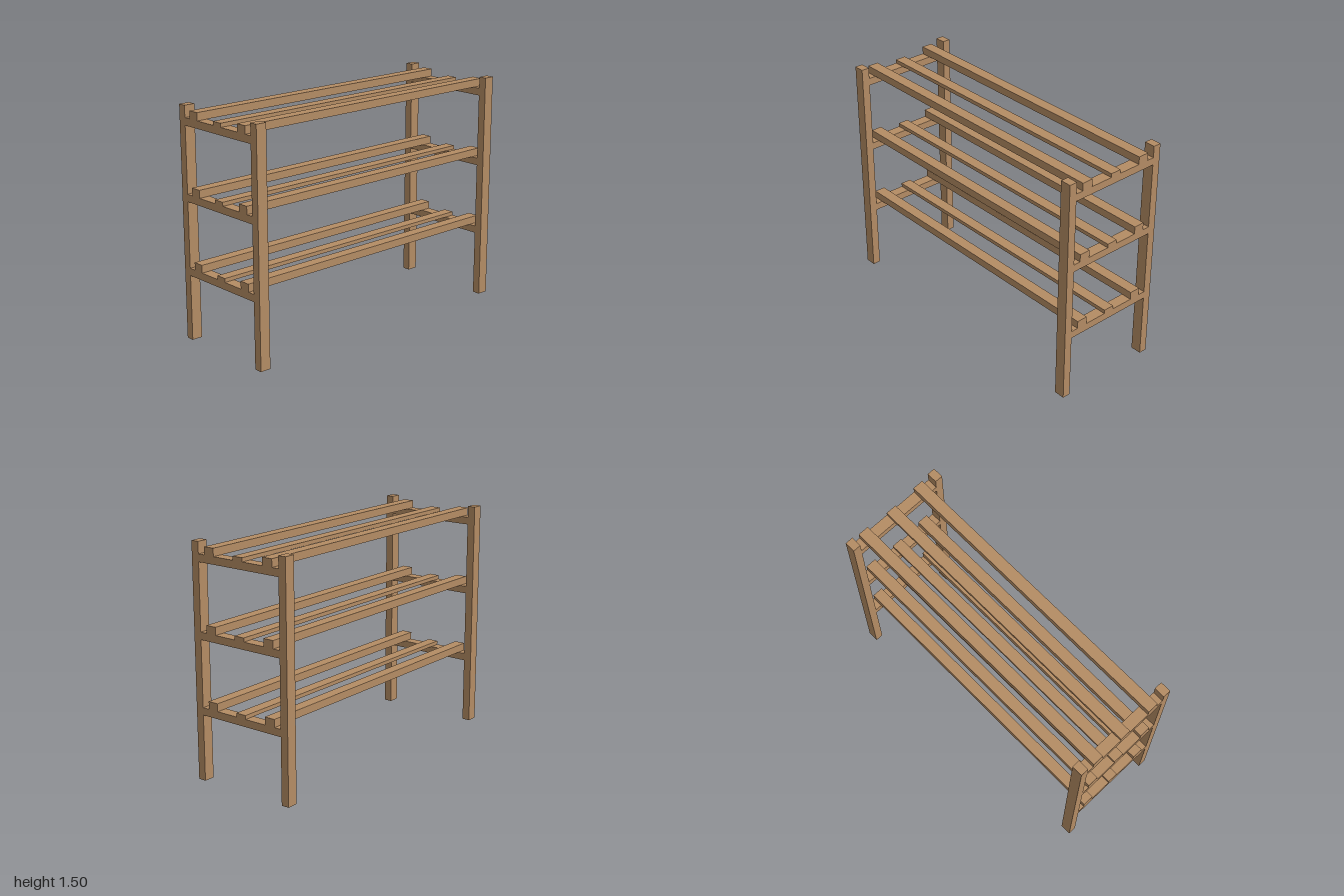
import * as THREE from 'three';

export function createModel() {
  const group = new THREE.Group();
  const wood = new THREE.MeshStandardMaterial({ color: 0xb48c64 });
  wood.name = 'wood';

  // Box whose position is given by its centre in x and z, and its bottom in y
  const addBox = (name, [w, h, d], [x, y, z]) => {
    const mesh = new THREE.Mesh(new THREE.BoxGeometry(w, h, d), wood);
    mesh.name = name;
    mesh.position.set(x, y + h / 2, z);
    group.add(mesh);
  };

  const postW = 0.072, postD = 0.053, depth = 0.725, height = 1.5;
  const postX = 1 - postW / 2, postZ = (depth - postD) / 2;

  // Four corner posts
  for (const x of [-postX, postX]) {
    for (const z of [-postZ, postZ]) addBox('post', [postW, height, postD], [x, 0, z]);
  }

  // Three shelves: end rails between the posts, slats resting on top
  for (const top of [0.475, 0.95, 1.425]) {
    for (const x of [-postX, postX]) {
      addBox('endRail', [postW, 0.048, depth - 2 * postD], [x, top - 0.048, 0]);
    }
    for (const z of [-0.225, 0.225]) addBox('outerSlat', [2, 0.05, 0.073], [0, top, z]);
    addBox('middleSlat', [2, 0.025, 0.073], [0, top, 0]);
  }
  return group;
}
